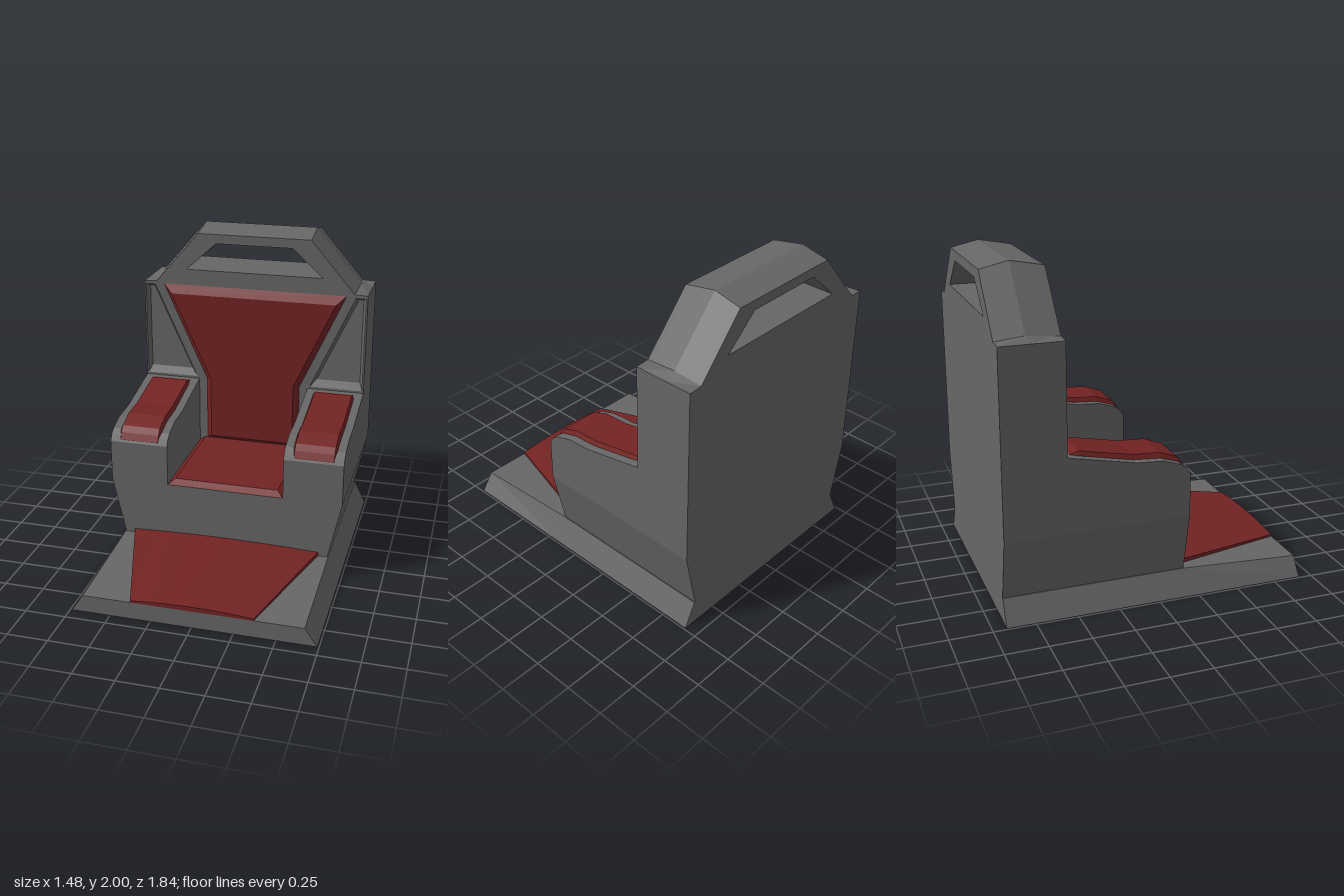
import * as THREE from 'three';

const grey = new THREE.MeshStandardMaterial({ color: 0x666666 });
grey.name = 'stone grey';
const red = new THREE.MeshStandardMaterial({ color: 0x732323 });
red.name = 'cushion red';

const FRONT = -0.55, BACK = -0.92, SEAT_FRONT = 0.18, RECESS = 0.03;

// Skin through equal-sized rings, counter-clockwise seen from the last ring, with fan caps
function loft(rings) {
  const pos = [];
  const tri = (...pts) => pts.forEach((p) => pos.push(...p));
  const n = rings[0].length;
  const centre = (r) => [0, 1, 2].map((k) => r.reduce((s, p) => s + p[k], 0) / n);
  const first = rings[0], last = rings[rings.length - 1];
  const c0 = centre(first), c1 = centre(last);
  for (let j = 0; j < n; j++) {
    const k = (j + 1) % n;
    for (let i = 0; i + 1 < rings.length; i++) {
      const a = rings[i], b = rings[i + 1];
      tri(a[j], a[k], b[k]);
      tri(a[j], b[k], b[j]);
    }
    tri(c0, first[k], first[j]);
    tri(c1, last[j], last[k]);
  }
  const g = new THREE.BufferGeometry();
  g.setAttribute('position', new THREE.Float32BufferAttribute(pos, 3));
  g.computeVertexNormals();
  return g;
}

const vec = (pts) => pts.map(([x, y]) => new THREE.Vector2(x, y));
// Right half of an outline, bottom to top, completed by its mirror image
const mirrored = (half) => [...half, ...half.slice().reverse().map(([x, y]) => [-x, y])];

function extrude(pts, holes, z0, z1, steps = 1) {
  const shape = new THREE.Shape(vec(pts));
  holes.forEach((h) => shape.holes.push(new THREE.Path(vec(h))));
  const g = new THREE.ExtrudeGeometry(shape, { depth: z1 - z0, steps, bevelEnabled: false });
  return g.translate(0, 0, z0);
}

// Ridged roof over the backrest: outer top points rise toward the middle of its depth
function ridge(g) {
  const p = g.attributes.position;
  for (let i = 0; i < p.count; i++) {
    const y = p.getY(i);
    const t = Math.max(0, 1 - Math.abs(p.getZ(i) + 0.735) / 0.185);
    if (y > 1.95) p.setY(i, y + 0.042 * t);
    else if (y > 1.628 && y < 1.65) {
      p.setY(i, y + 0.025 * t);
      p.setX(i, p.getX(i) + Math.sign(p.getX(i)) * 0.015 * t);
    }
  }
  g.computeVertexNormals();
  return g;
}

export function createModel() {
  const model = new THREE.Group();
  model.name = 'armchairThrone';
  const add = (name, geometry, material) => {
    const mesh = new THREE.Mesh(geometry, material);
    mesh.name = name;
    model.add(mesh);
  };

  // Plinth with sloped sides and a step falling toward the front
  add('base', loft([[BACK, 0.15], [SEAT_FRONT, 0.15], [0.92, 0.11]].map(([z, y]) =>
    [[-0.74, 0, z], [0.74, 0, z], [0.665, y, z], [-0.665, y, z]])), grey);

  // Backrest with a handle opening
  const outline = mirrored([[0.66, 0.15], [0.74, 0.52], [0.74, 1.625], [0.655, 1.63], [0.37, 1.96]]);
  const handleHole = mirrored([[0.45, 1.72], [0.25, 1.9]]);
  add('backrest', ridge(extrude(outline, [handleHole], BACK, FRONT - RECESS, 2)), grey);

  // Front layer of the backrest with sunken side panels, walls sloping inward
  const panelOuter = [[0.73, 0.985], [0.73, 1.605], [0.665, 1.605], [0.385, 0.985]];
  const panelInner = [[0.71, 1.03], [0.71, 1.59], [0.68, 1.59], [0.425, 1.03]];
  const flip = (pts) => pts.map(([x, y]) => [-x, y]);
  const frame = extrude(outline, [handleHole, panelOuter, flip(panelOuter)], FRONT - RECESS, FRONT);
  const p = frame.attributes.position;
  for (let i = 0; i < p.count; i++) {
    if (p.getZ(i) > FRONT - RECESS / 2) continue;
    const x = p.getX(i), y = p.getY(i);
    const k = panelOuter.findIndex(([a, b]) => Math.abs(Math.abs(x) - a) + Math.abs(y - b) < 1e-4);
    if (k >= 0) p.setXY(i, Math.sign(x) * panelInner[k][0], panelInner[k][1]);
  }
  add('backrestFrame', ridge(frame), grey);

  // Seat block
  add('seatBlock', extrude(mirrored([[0.66, 0.15], [0.74, 0.52]]), [], FRONT, SEAT_FRONT), grey);

  // Arms and their pads
  const armTop = [[0.18, 0.78], [0.155, 0.82], [0.12, 0.845], [0.01, 0.88], [-0.15, 0.89], [FRONT, 0.97]];
  const armSide = [[FRONT, 0.52], [SEAT_FRONT, 0.52], ...armTop].map(([z, y]) => [-z, y]);
  const padTop = [[-0.52, 0.965], [-0.47, 0.98], [-0.15, 0.918], [0.01, 0.91],
    [0.12, 0.87], [0.15, 0.835], [0.172, 0.795]];
  for (const [side, s] of [['left', 1], ['right', -1]]) {
    const arm = extrude(armSide, [], 0, 0.37).rotateY(Math.PI / 2);
    add(side + 'Arm', arm.translate(s > 0 ? 0.37 : -0.74, 0, 0), grey);
    const x0 = s * 0.555 - 0.14, x1 = s * 0.555 + 0.14;
    add(side + 'ArmPad', loft(padTop.map(([z, y]) => [
      [x0, y - 0.04, z], [x1, y - 0.04, z], [x1 - 0.018, y, z], [x0 + 0.018, y, z]])), red);
  }

  // Seat cushion
  const seatRing = (x, y, z0, z1) => [[x, y, z1], [x, y, z0], [-x, y, z0], [-x, y, z1]];
  add('seatCushion', loft([seatRing(0.37, 0.52, FRONT, SEAT_FRONT),
    seatRing(0.33, 0.55, FRONT + 0.01, 0.14)]), red);

  // Back cushion, flaring toward the top
  const backRing = (half, z) => mirrored(half).map(([x, y]) => [x, y, z]);
  add('backCushion', loft([
    backRing([[0.315, 0.545], [0.315, 0.975], [0.605, 1.615]], FRONT),
    backRing([[0.28, 0.575], [0.28, 0.985], [0.545, 1.56]], FRONT + 0.035)]), red);

  // Crowned foot mat, narrowing toward the front
  const matRing = (w, low, edge, crown, z) => {
    const ring = [[-w, low, z], [w, low, z]];
    for (let i = 0; i <= 6; i++) {
      const t = 1 - i / 3;
      ring.push([w * t, crown + (edge - crown) * t * t, z]);
    }
    return ring;
  };
  add('footMat', loft([matRing(0.6, 0.145, 0.175, 0.19, SEAT_FRONT),
    matRing(0.37, 0.105, 0.122, 0.14, 0.92)]), red);

  return model;
}
